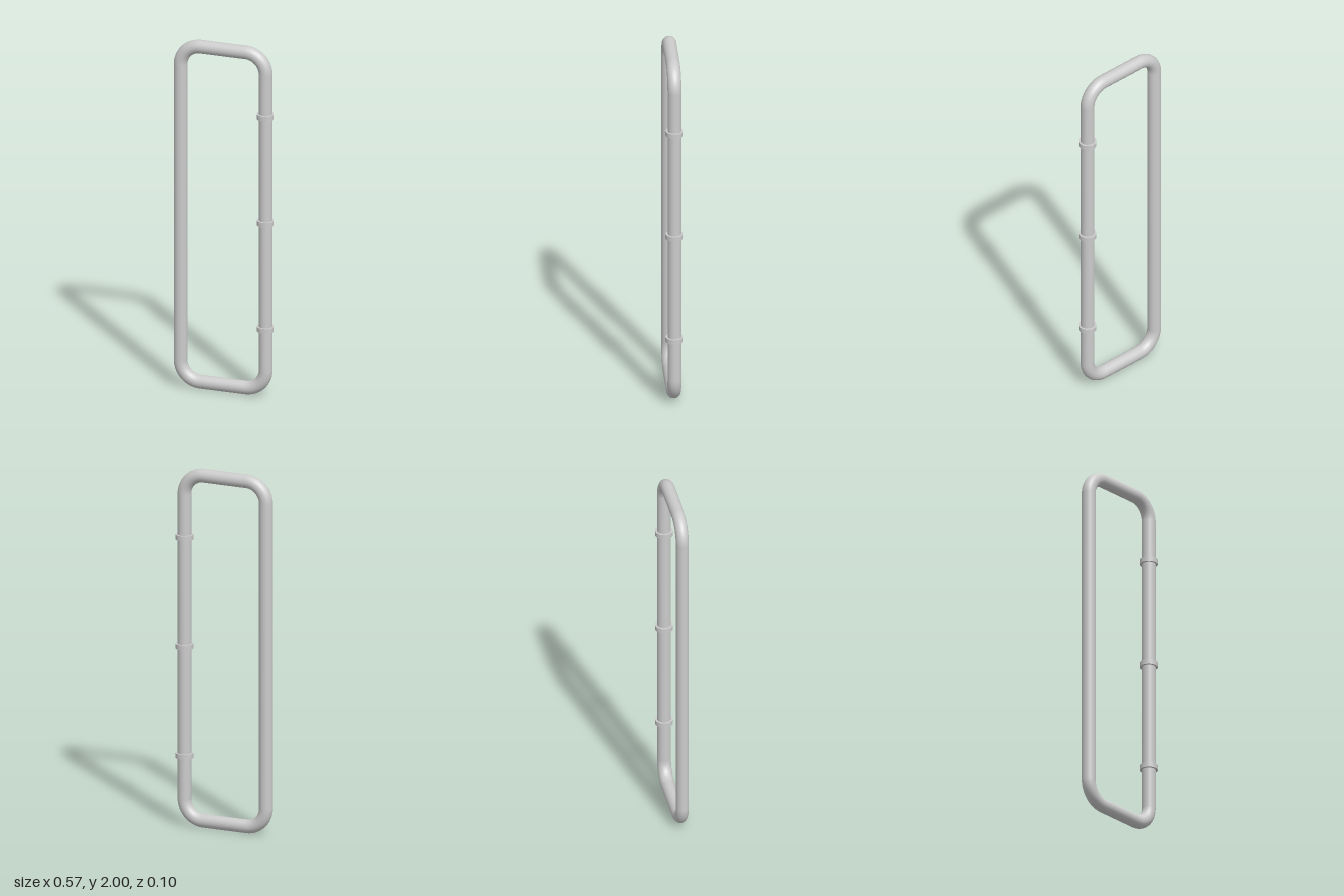
import * as THREE from 'three';

const TUBE = 0.037; // tube radius
const BEND = 0.113; // corner radius along the tube centre line
const LEFT = 0.236, RIGHT = -0.247, TOP = 2 - TUBE, BOTTOM = TUBE;
const SIDES = 32;

export function createModel() {
  const group = new THREE.Group();
  const material = new THREE.MeshStandardMaterial({ color: 0xcccccc });

  const add = (parent, name, geometry, x, y, turn = 0) => {
    const mesh = new THREE.Mesh(geometry, material);
    mesh.name = name;
    mesh.position.set(x, y, 0);
    mesh.rotation.z = turn;
    parent.add(mesh);
  };

  // Rounded rectangular loop: four straight tubes joined by quarter bends
  const frame = new THREE.Group();
  frame.name = 'frame';
  group.add(frame);

  const midX = (LEFT + RIGHT) / 2, midY = (TOP + BOTTOM) / 2;
  const rail = (length) => new THREE.CylinderGeometry(TUBE, TUBE, length, SIDES, 1, true);
  const upright = rail(TOP - BOTTOM - 2 * BEND);
  const crossbar = rail(LEFT - RIGHT - 2 * BEND);
  add(frame, 'leftUpright', upright, LEFT, midY);
  add(frame, 'rightUpright', upright, RIGHT, midY);
  add(frame, 'topBar', crossbar, midX, TOP, Math.PI / 2);
  add(frame, 'bottomBar', crossbar, midX, BOTTOM, Math.PI / 2);

  const bend = new THREE.TorusGeometry(BEND, TUBE, SIDES, 16, Math.PI / 2);
  add(frame, 'topLeftBend', bend, LEFT - BEND, TOP - BEND, 0);
  add(frame, 'topRightBend', bend, RIGHT + BEND, TOP - BEND, Math.PI / 2);
  add(frame, 'bottomRightBend', bend, RIGHT + BEND, BOTTOM + BEND, Math.PI);
  add(frame, 'bottomLeftBend', bend, LEFT - BEND, BOTTOM + BEND, -Math.PI / 2);

  // Collars around the left upright
  const collar = new THREE.CylinderGeometry(0.048, 0.048, 0.027, 40);
  [0.39, 1.0, 1.61].forEach((y, i) => add(group, `collar${i + 1}`, collar, LEFT, y));

  return group;
}
